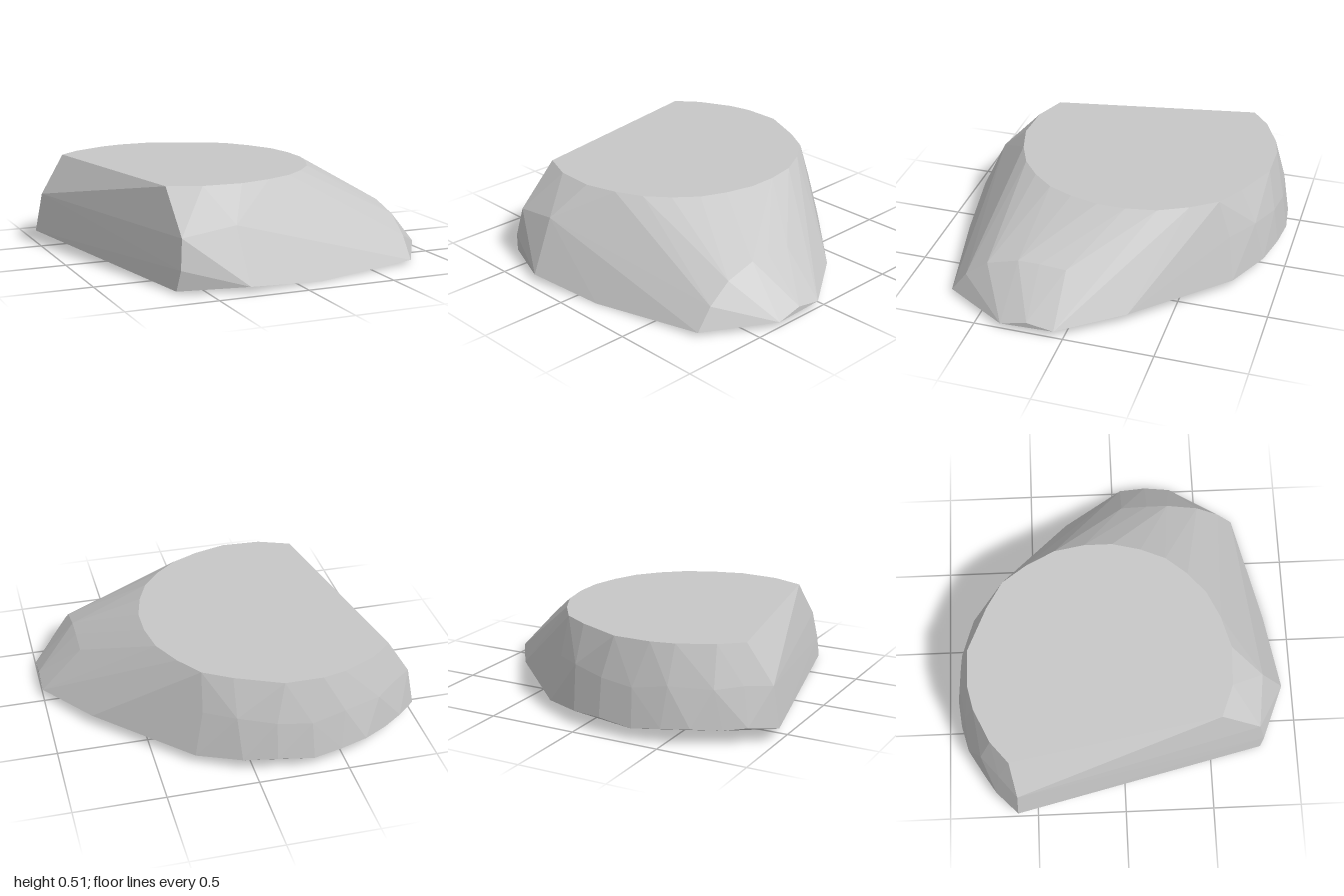
import * as THREE from 'three';
import { ConvexGeometry } from 'three/addons/geometries/ConvexGeometry.js';

// Flat, nearly level top: [x, z] around the rim
const TOP_Y = 0.51;
const topRim = [
  [-0.82, -0.63], [-0.7, -0.73], [-0.51, -0.82], [-0.38, -0.85], [-0.17, -0.85],
  [0.08, -0.74], [0.23, -0.65], [0.33, -0.51], [0.41, -0.35], [0.44, -0.18],
  [0.44, -0.02], [0.4, 0.14], [0.34, 0.28], [0.24, 0.4], [0.12, 0.5],
  [-0.03, 0.57], [-0.21, 0.62], [-0.43, 0.61], [-0.61, 0.54],
];

// Shoulder of the stone: [x, y, z]
const shoulder = [
  [-0.96, 0.29, -0.6], [-0.84, 0.3, -0.7], [-0.72, 0.29, -0.8], [-0.5, 0.3, -0.885],
  [-0.31, 0.27, -0.915], [-0.12, 0.29, -0.9], [0.08, 0.31, -0.83], [0.24, 0.3, -0.72],
  [0.77, 0.21, -0.06], [0.77, 0.28, 0.05], [0.77, 0.29, 0.2], [0.77, 0.29, 0.32],
  [0.77, 0.24, 0.5], [0.77, 0.14, 0.63], [-0.32, 0.33, 0.8], [-0.61, 0.28, 0.77],
  [-0.63, 0.12, 0.805],
];

// Widest outline near the ground: [x, y, z]
const foot = [
  [-1, 0.07, -0.61], [-0.88, 0.09, -0.73], [-0.77, 0.08, -0.8], [-0.63, 0.09, -0.885],
  [-0.48, 0.08, -0.925], [-0.32, 0.06, -0.945], [-0.12, 0.08, -0.93], [0.06, 0.07, -0.885],
  [0.29, 0.05, -0.76], [0.77, 0.06, -0.29], [1, 0.04, 0.05], [1, 0.065, 0.2],
  [1, 0.03, 0.35], [0.77, 0.02, 0.72], [0.14, 0, 0.87], [-0.3, 0.035, 0.94],
  [-0.65, 0.01, 0.79],
];

// Low point under the stone
const underside = [[0.15, 0, -0.33]];

export function createModel() {
  const group = new THREE.Group();
  group.name = 'cutStone';

  const stoneGrey = new THREE.MeshStandardMaterial({ color: 0xc7c7c7 });
  stoneGrey.name = 'stone grey';

  // The faceted body is the hull of its rings
  const points = [
    ...topRim.map(([x, z]) => new THREE.Vector3(x, TOP_Y, z)),
    ...[...shoulder, ...foot, ...underside].map((p) => new THREE.Vector3(...p)),
  ];
  const stone = new THREE.Mesh(new ConvexGeometry(points), stoneGrey);
  stone.name = 'stone';
  group.add(stone);
  return group;
}
